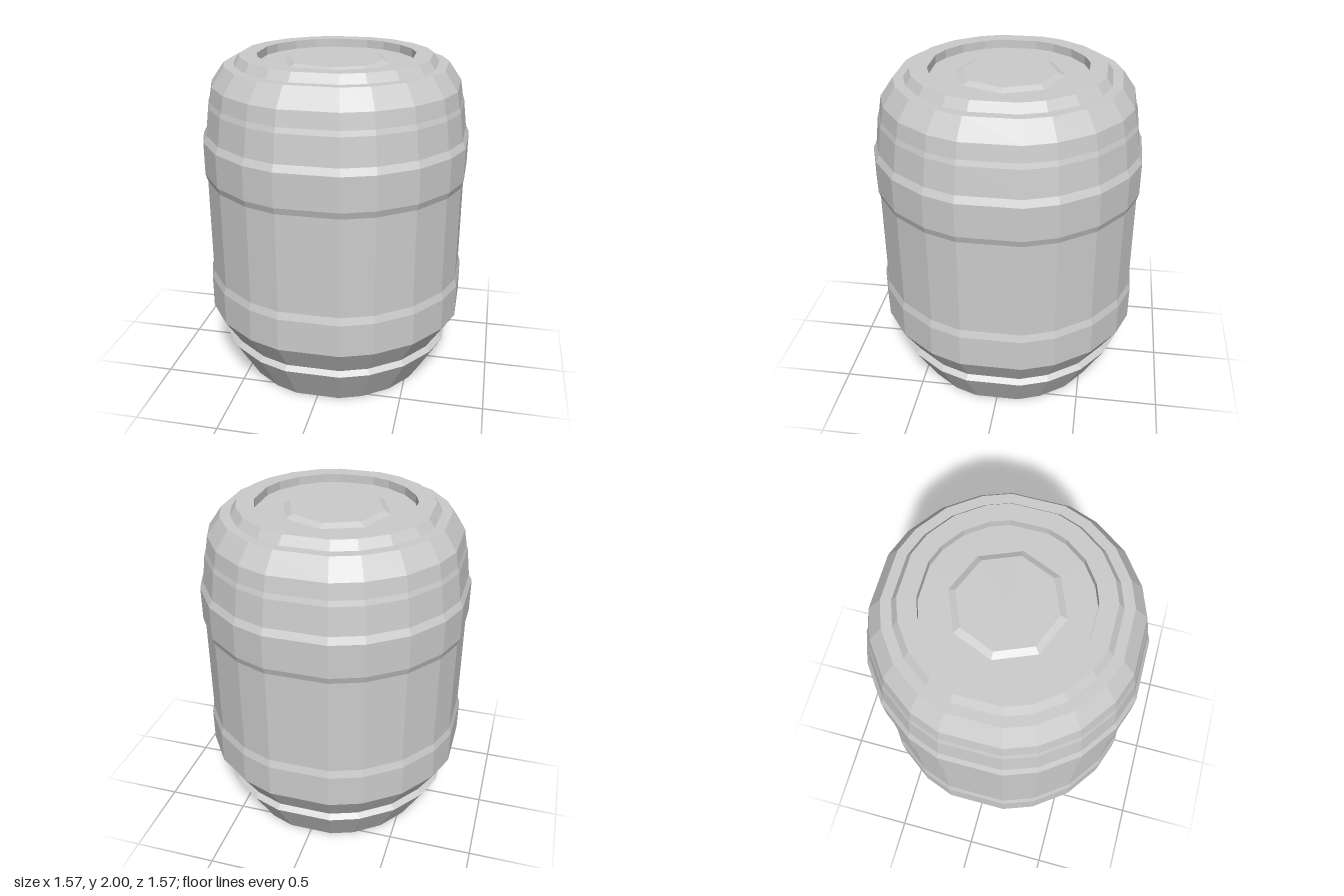
import * as THREE from 'three';

// Uneven facet angles (degrees) that repeat every quarter turn
const QUARTER = [13, 27, 45, 63, 77];
const ANGLES = [0, 90, 180, 270].flatMap((q) => QUARTER.map((a) => a + q));
const SIDES = ANGLES.length;

// Revolve a [halfWidth, y] profile, then shift its columns to the uneven angles
function facetedLathe(profile) {
  const k = 1 / Math.cos(THREE.MathUtils.degToRad(13));
  const points = profile.map(([w, y]) => new THREE.Vector2(w * k, y));
  const geometry = new THREE.LatheGeometry(points, SIDES);
  const position = geometry.attributes.position;
  for (let i = 0; i <= SIDES; i++) {
    const a = THREE.MathUtils.degToRad(ANGLES[i % SIDES]);
    points.forEach((p, j) => {
      position.setXYZ(i * points.length + j, p.x * Math.sin(a), p.y, p.x * Math.cos(a));
    });
  }
  geometry.computeVertexNormals();
  return geometry;
}

export function createModel() {
  const model = new THREE.Group();
  model.name = 'barrel';
  const material = new THREE.MeshStandardMaterial({ color: 0xcccccc, flatShading: true });
  const add = (name, geometry) => {
    const mesh = new THREE.Mesh(geometry, material);
    mesh.name = name;
    model.add(mesh);
    return mesh;
  };

  // Closed base and tapered foot with its small ledge
  add('foot', facetedLathe([[0, 0], [0.575, 0], [0.715, 0.25], [0.685, 0.275], [0.785, 0.44]]));

  // Body with two raised hoops and a rounded shoulder
  add('body', facetedLathe([
    [0.785, 0.44], [0.785, 0.64], [0.772, 0.685],
    [0.772, 1.28], [0.785, 1.32], [0.785, 1.52], [0.765, 1.56],
    [0.745, 1.72], [0.735, 1.75], [0.72, 1.84], [0.645, 1.95],
  ]));

  // Raised rim around the sunken lid
  add('rim', facetedLathe([[0.645, 1.95], [0.588, 1.95], [0.555, 2], [0.455, 2], [0.455, 1.95]]));
  add('lid', facetedLathe([[0.455, 1.95], [0, 1.95]]));

  // Low octagonal boss in the middle of the lid
  const boss = add('lidBoss', new THREE.CylinderGeometry(0.28, 0.32, 0.02, 8));
  boss.position.y = 1.96;

  return model;
}
